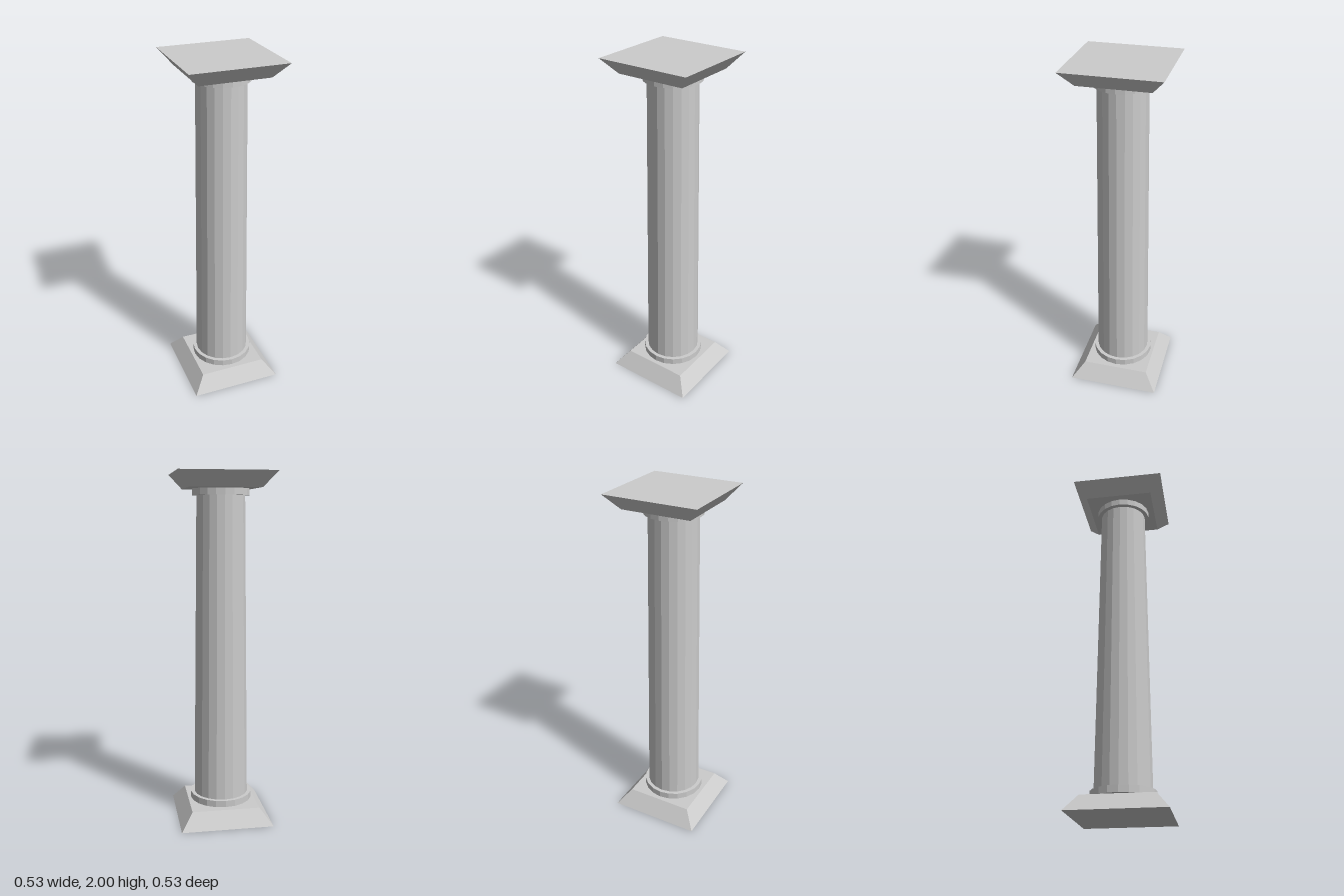
import * as THREE from 'three';

const material = new THREE.MeshStandardMaterial({ color: 0xcccccc, flatShading: true });
const SIDES = 20;

export function createModel() {
  const column = new THREE.Group();
  column.name = 'column';

  // Adds a tapered round or square block between two heights
  function addBlock(name, rTop, rBottom, y0, y1, sides = SIDES) {
    const geometry = new THREE.CylinderGeometry(rTop, rBottom, y1 - y0, sides);
    if (sides === 4) geometry.rotateY(Math.PI / 4);
    const mesh = new THREE.Mesh(geometry, material);
    mesh.name = name;
    mesh.position.y = (y0 + y1) / 2;
    column.add(mesh);
  }

  // Half-widths of the square slabs become corner radii
  const wide = 0.267 * Math.SQRT2;
  const narrow = 0.197 * Math.SQRT2;

  addBlock('basePlinth', narrow, wide, 0, 0.09, 4);
  addBlock('lowerRing', 0.181, 0.181, 0.1, 0.138);
  addBlock('shaft', 0.137, 0.159, 0.138, 1.877);
  addBlock('upperRing', 0.161, 0.161, 1.877, 1.914);
  addBlock('capitalSlab', wide, narrow, 1.916, 2, 4);

  return column;
}
